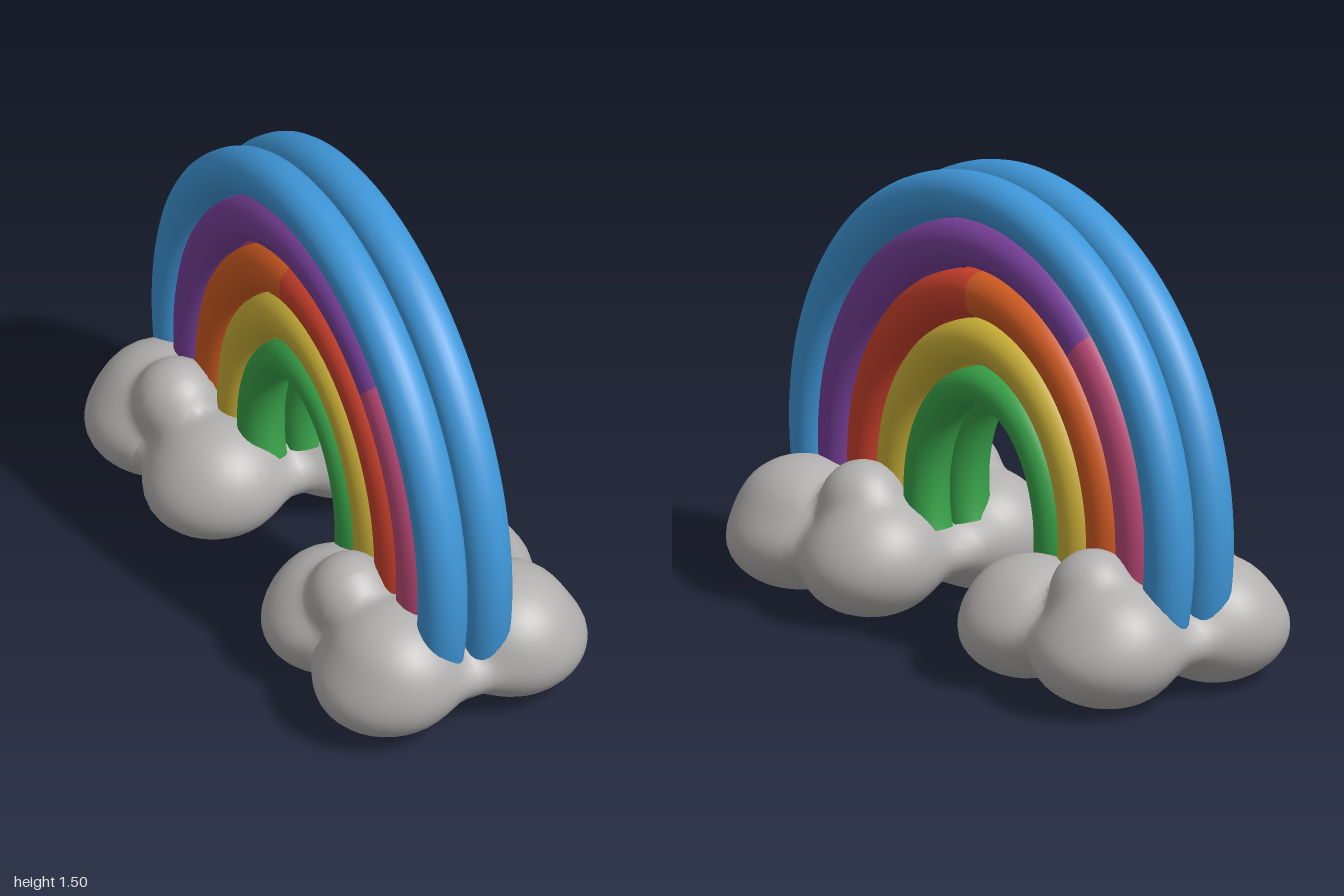
import * as THREE from 'three';

const mat = (name, color) => {
  const m = new THREE.MeshStandardMaterial({ color });
  m.name = name;
  return m;
};

// Half-elliptical path in the z-y plane; angle 0 is the back foot, PI the front foot
class ArchCurve extends THREE.Curve {
  constructor(x, cy, rz, ry, a0, a1) {
    super();
    Object.assign(this, { x, cy, rz, ry, a0, a1 });
  }
  getPoint(u, target = new THREE.Vector3()) {
    const a = this.a0 + (this.a1 - this.a0) * u;
    return target.set(this.x, this.cy + this.ry * Math.sin(a), -this.rz * Math.cos(a));
  }
}

// Tube along the arch with a slightly squared section: r across the band, width sideways
function bandGeometry(curve, r, width) {
  const sides = 24;
  const steps = Math.ceil((curve.a1 - curve.a0) * 22);
  const geo = new THREE.TubeGeometry(curve, steps, r, sides);
  const pos = geo.attributes.position;
  const c = new THREE.Vector3(), p = new THREE.Vector3();
  for (let i = 0; i < pos.count; i++) {
    curve.getPointAt(Math.floor(i / (sides + 1)) / steps, c);
    p.fromBufferAttribute(pos, i).sub(c);
    const across = Math.hypot(p.y, p.z) / r, sideways = Math.abs(p.x) / r;
    const k = (across ** 2.5 + sideways ** 2.5) ** (-1 / 2.5);
    p.multiplyScalar(k);
    p.x *= width / r;
    p.add(c);
    pos.setXYZ(i, p.x, p.y, p.z);
  }
  return geo;
}

// Polynomial smooth minimum, blends neighbouring cloud lobes
const smin = (a, b, k) => {
  const h = Math.max(k - Math.abs(a - b), 0) / k;
  return Math.min(a, b) - h * h * k * 0.25;
};

// Sphere whose vertices are pushed out to the blended surface of several ellipsoids
function cloudGeometry(lobes, centre) {
  const field = (p) => lobes.reduce((d, [c, r]) => {
    const q = Math.hypot((p.x - c[0]) / r[0], (p.y - c[1]) / r[1], (p.z - c[2]) / r[2]);
    return smin(d, (q - 1) * Math.min(...r), 0.03);
  }, 10);
  const geo = new THREE.SphereGeometry(1, 80, 56);
  const pos = geo.attributes.position;
  const dir = new THREE.Vector3(), p = new THREE.Vector3();
  for (let i = 0; i < pos.count; i++) {
    dir.fromBufferAttribute(pos, i).normalize();
    const at = (t) => p.copy(centre).addScaledVector(dir, t);
    let t = 0.8;
    while (t > 0.02 && field(at(t)) > 0) t -= 0.01;
    let lo = t, hi = t + 0.01;
    for (let n = 0; n < 10; n++) {
      const mid = (lo + hi) / 2;
      if (field(at(mid)) > 0) hi = mid; else lo = mid;
    }
    at(lo);
    pos.setXYZ(i, p.x, Math.max(p.y, 0), p.z);
  }
  geo.computeVertexNormals();
  return geo;
}

export function createModel() {
  const group = new THREE.Group();
  group.name = 'rainbow';
  const blue = mat('blue', 0x3f97d9);
  const purple = mat('purple', 0x78409a);
  const pink = mat('pink', 0xbc4a76);
  const red = mat('red', 0xcc412c);
  const orange = mat('orange', 0xd25c22);
  const yellow = mat('yellow', 0xcbb038);
  const green = mat('green', 0x39a34a);
  const grey = mat('cloud grey', 0xb3b1b0);
  const deg = Math.PI / 180;

  // Bands: centre height, half span, rise, tube radius
  const bands = [
    { name: 'outerBand', cy: 0.5, rz: 0.88, ry: 0.928, r: 0.073 },
    { name: 'secondBand', cy: 0.47, rz: 0.737, ry: 0.805, r: 0.073 },
    { name: 'thirdBand', cy: 0.44, rz: 0.592, ry: 0.675, r: 0.073 },
    { name: 'fourthBand', cy: 0.42, rz: 0.449, ry: 0.54, r: 0.069 },
    { name: 'innerBand', cy: 0.4, rz: 0.323, ry: 0.417, r: 0.06 },
  ];
  // Each row lists, per band, its colours from back to front and the angle between them
  const rows = [
    { side: 'left', x: 0.065, paint: [[blue], [pink, 49, purple], [orange, 94, red], [yellow], [green]] },
    { side: 'right', x: -0.093, paint: [[blue], [purple, 131, pink], [orange, 84, red], [yellow], [green]] },
  ];
  for (const { side, x, paint } of rows) {
    bands.forEach(({ name, cy, rz, ry, r }, i) => {
      const [first, split, second] = paint[i];
      const foot = -Math.asin((cy - 0.27) / ry);
      const end = Math.PI - foot;
      const parts = second
        ? [[first, foot, split * deg], [second, split * deg, end]]
        : [[first, foot, end]];
      for (const [material, a0, a1] of parts) {
        const curve = new ArchCurve(x, cy, rz, ry, a0, a1);
        const mesh = new THREE.Mesh(bandGeometry(curve, r, 0.074), material);
        mesh.name = `${side}_${name}_${material.name}`;
        group.add(mesh);
      }
    });
  }

  // Clouds at both feet: wide core, four lobes (broad below, narrower above), two bumps on top
  const clouds = [
    { name: 'frontCloud', s: 1, innerZ: 0.4, top: 0.222, bumps: [[0.2, 0.47], [-0.23, 0.53]] },
    { name: 'backCloud', s: -1, innerZ: 0.38, top: 0.205, bumps: [[0.2, 0.67], [-0.24, 0.6]] },
  ];
  for (const { name, s, innerZ, top, bumps } of clouds) {
    const lobes = [[[0, 0.185, 0.585 * s], [0.39, 0.145, 0.37]]];
    for (const m of [1, -1]) {
      lobes.push([[0.2 * m, top, 0.755 * s], [0.215, 0.2, 0.235]]);
      lobes.push([[0.226 * m, 0.17, 0.755 * s], [0.23, 0.16, 0.228]]);
      lobes.push([[0.21 * m, 0.205, innerZ * s], [0.21, 0.185, 0.217]]);
      lobes.push([[0.228 * m, 0.17, innerZ * s], [0.225, 0.16, 0.21]]);
    }
    for (const [bx, bz] of bumps) lobes.push([[bx, 0.335, bz * s], [0.138, 0.147, 0.142]]);
    const mesh = new THREE.Mesh(cloudGeometry(lobes, new THREE.Vector3(0, 0.2, 0.585 * s)), grey);
    mesh.name = name;
    group.add(mesh);
  }
  return group;
}
